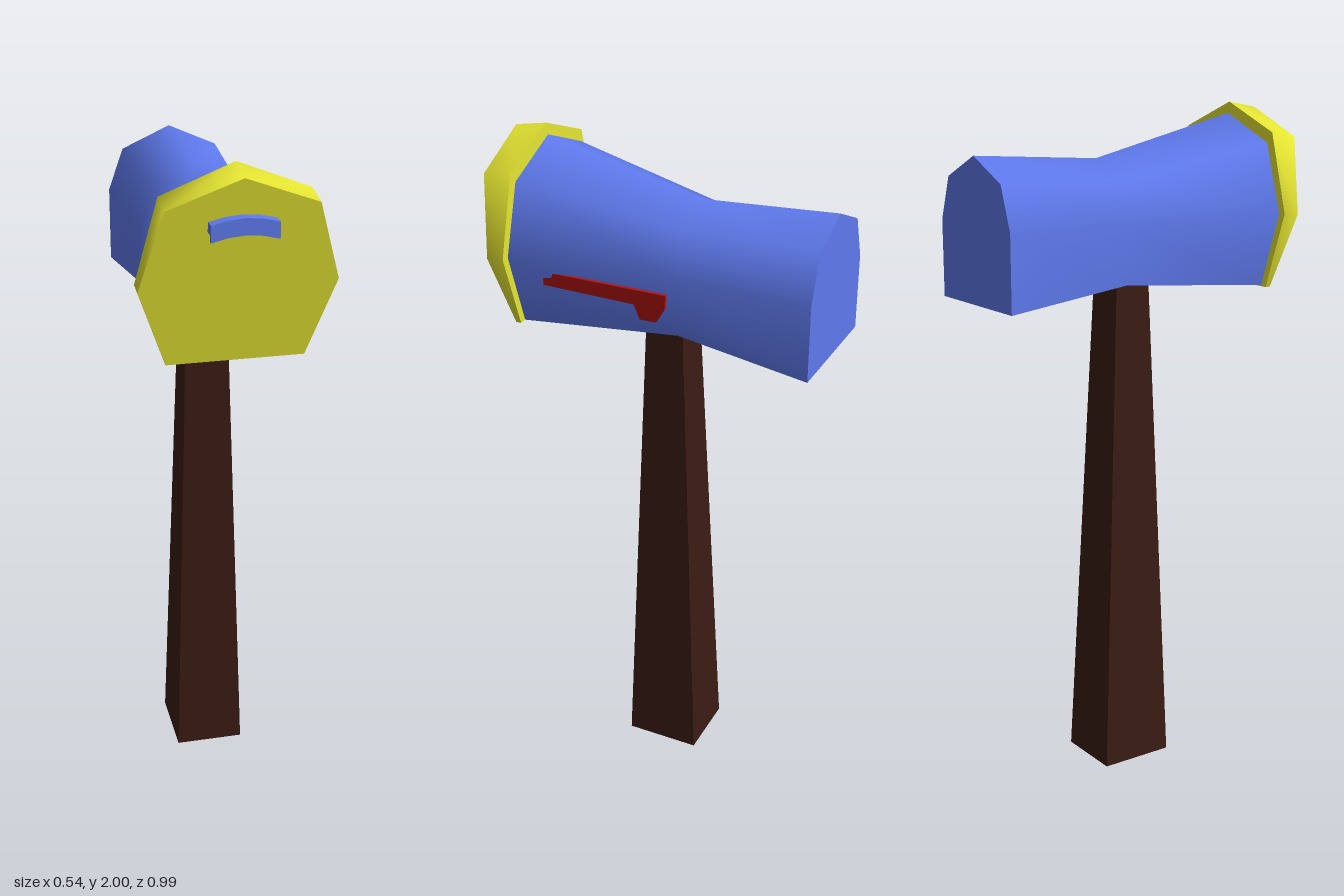
import * as THREE from 'three';
import { toCreasedNormals } from 'three/addons/utils/BufferGeometryUtils.js';

const CREASE = 1.05;

// Half outline (bottom corner, side, shoulder, peak) mirrored to a full loop,
// counter-clockwise seen from the front; zAt gives the depth for a height.
function section(half, zAt) {
  const mirrored = half.slice(0, 3).reverse().map(([x, y]) => [-x, y]);
  return [...half, ...mirrored].map(([x, y]) => [x, y, zAt(y)]);
}

// Closed loft through sections ordered from back to front.
function loft(sections) {
  const pos = [];
  const tri = (...pts) => pts.forEach((p) => pos.push(...p));
  const n = sections[0].length;
  for (let s = 0; s < sections.length - 1; s++) {
    const a = sections[s], b = sections[s + 1];
    for (let i = 0; i < n; i++) {
      const j = (i + 1) % n;
      tri(a[i], a[j], b[j]);
      tri(a[i], b[j], b[i]);
    }
  }
  const back = sections[0], front = sections[sections.length - 1];
  for (let i = 1; i < n - 1; i++) {
    tri(back[0], back[i + 1], back[i]);
    tri(front[0], front[i], front[i + 1]);
  }
  const geo = new THREE.BufferGeometry();
  geo.setAttribute('position', new THREE.Float32BufferAttribute(pos, 3));
  return toCreasedNormals(geo, CREASE);
}

// Side profile given as [z, y], extruded along +x from x0.
function sideExtrude(profile, x0, width, steps = 1) {
  const shape = new THREE.Shape(profile.map(([z, y]) => new THREE.Vector2(-z, y)));
  const geo = new THREE.ExtrudeGeometry(shape, { depth: width, steps, bevelEnabled: false });
  return geo.rotateY(Math.PI / 2).translate(x0, 0, 0);
}

export function createModel() {
  const model = new THREE.Group();
  const add = (name, geo, color, flatShading = false) => {
    const mesh = new THREE.Mesh(geo, new THREE.MeshStandardMaterial({ color, flatShading }));
    mesh.name = name;
    model.add(mesh);
  };
  const blue = 0x5f7aee;

  // Tapered post, slightly off centre in depth
  const post = new THREE.BoxGeometry(1, 1, 1);
  const p = post.attributes.position;
  for (let i = 0; i < p.count; i++) {
    const top = p.getY(i) > 0;
    p.setXYZ(i,
      p.getX(i) * (top ? 0.118 : 0.206),
      top ? 1.53 : 0,
      p.getZ(i) * (top ? 0.11 : 0.228) + (top ? -0.013 : -0.024));
  }
  add('post', post, 0x3a1c14, true);

  // Waisted box body: back, waist and mouth sections
  add('mailboxBody', loft([
    section([[0.19, 1.47], [0.19, 1.69], [0.145, 1.815], [0, 1.88]], () => -0.497),
    section([[0.155, 1.51], [0.167, 1.68], [0.125, 1.8], [0, 1.855]], () => -0.1),
    section([[0.175, 1.47], [0.249, 1.69], [0.187, 1.89], [0, 1.967]], () => 0.376),
  ]), blue);

  // Door: wedge that thickens toward the top
  add('door', loft([
    section([[0.19, 1.465], [0.268, 1.69], [0.203, 1.92], [0, 2]], () => 0.381),
    section([[0.19, 1.465], [0.268, 1.685], [0.203, 1.905], [0, 1.982]],
      (y) => 0.397 + (y - 1.465) * 0.156),
  ]), 0xe6e633);

  // Hooked door handle, arched across its width
  const handle = sideExtrude([
    [0.45, 1.885], [0.495, 1.885], [0.495, 1.84], [0.484, 1.84], [0.484, 1.858], [0.45, 1.858],
  ], -0.09, 0.18, 4);
  const h = handle.attributes.position;
  for (let i = 0; i < h.count; i++) h.setY(i, h.getY(i) - 1.85 * h.getX(i) ** 2);
  add('doorHandle', handle, blue, true);

  // Signal flag lowered along the left side
  add('signalFlag', sideExtrude([
    [0.28, 1.657], [0.28, 1.618], [0, 1.614], [-0.018, 1.573],
    [-0.066, 1.573], [-0.092, 1.617], [-0.095, 1.657],
  ], 0.214, 0.011), 0xb01212, true);

  return model;
}
